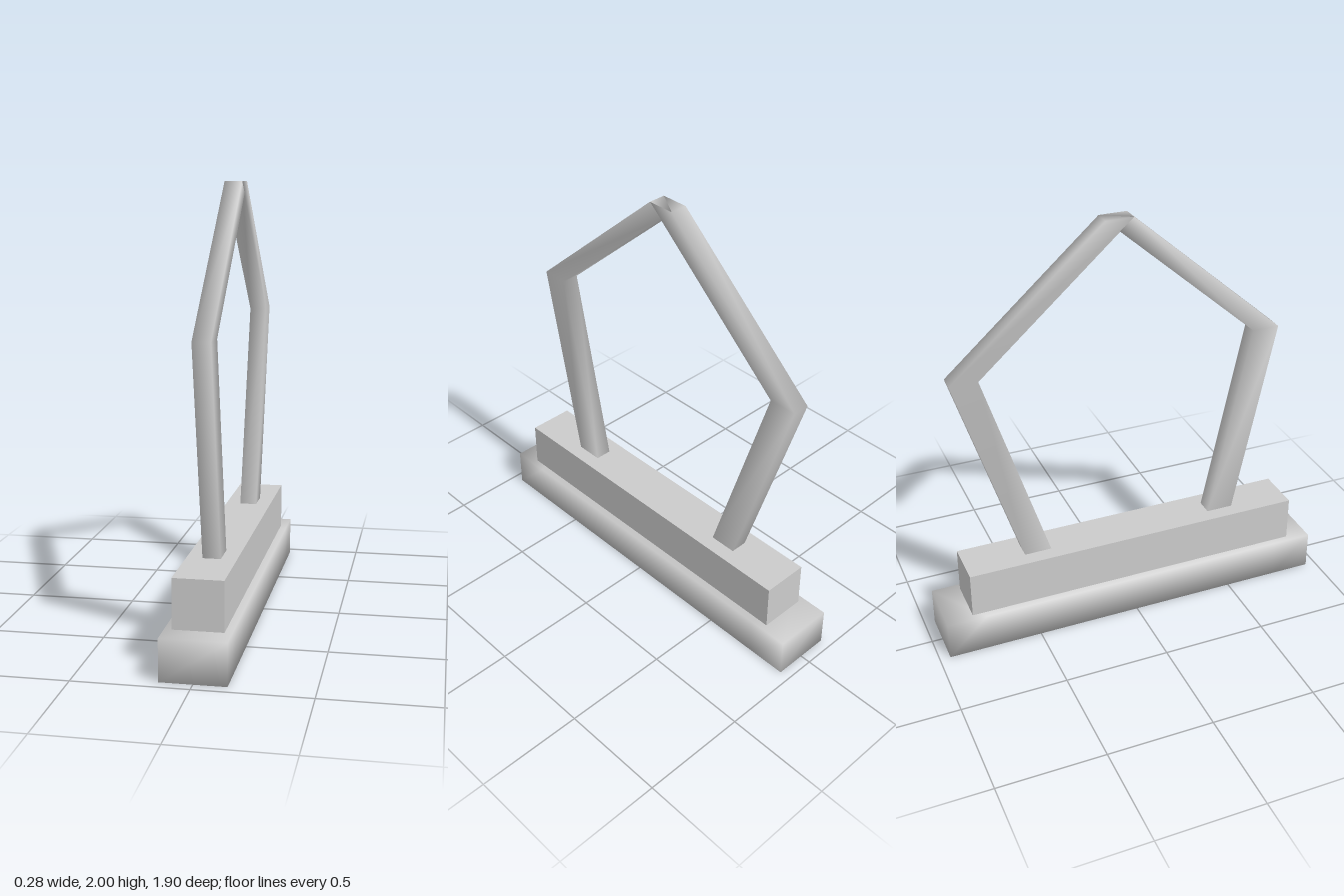
import * as THREE from 'three';
import { mergeVertices } from 'three/addons/utils/BufferGeometryUtils.js';

// Share the corners so that shading runs softly across the edges
function soften(geometry) {
  geometry.deleteAttribute('normal');
  geometry.deleteAttribute('uv');
  const merged = mergeVertices(geometry, 1e-4);
  merged.computeVertexNormals();
  return merged;
}

// Bent bar of rectangular section; rows run bottom to top as [front z, y, back z, y]
function bentBar(rows, width) {
  const n = rows.length - 1;
  const geometry = new THREE.BoxGeometry(width, n, 1, 1, n, 1);
  const p = geometry.attributes.position;
  for (let i = 0; i < p.count; i++) {
    const [frontZ, frontY, backZ, backY] = rows[Math.round(p.getY(i) + n / 2)];
    const front = p.getZ(i) > 0;
    p.setY(i, front ? frontY : backY);
    p.setZ(i, front ? frontZ : backZ);
  }
  return soften(geometry);
}

export function createModel() {
  const group = new THREE.Group();
  const material = new THREE.MeshStandardMaterial({ color: 0xcccccc });
  const add = (name, geometry, y = 0, z = 0) => {
    const mesh = new THREE.Mesh(geometry, material);
    mesh.name = name;
    mesh.position.set(0, y, z);
    group.add(mesh);
  };

  // Stepped base: soft-shaded foot and crisp upper block
  add('basePlinth', soften(new THREE.BoxGeometry(0.285, 0.185, 1.9, 1, 1, 10)), 0.0925);
  add('upperBlock', new THREE.BoxGeometry(0.22, 0.22, 1.66), 0.295, 0.01);

  // Two bent arms meeting at the top; the front one stops against the back one
  add('frontArm', bentBar([
    [0.55, 0.405, 0.42, 0.405],
    [0.75, 1.36, 0.62, 1.36],
    [0.02, 2, -0.045, 1.945],
  ], 0.08));
  add('backArm', bentBar([
    [-0.40, 0.405, -0.53, 0.405],
    [-0.70, 1.36, -0.83, 1.36],
    [0.02, 2, -0.11, 2],
  ], 0.08));

  return group;
}
